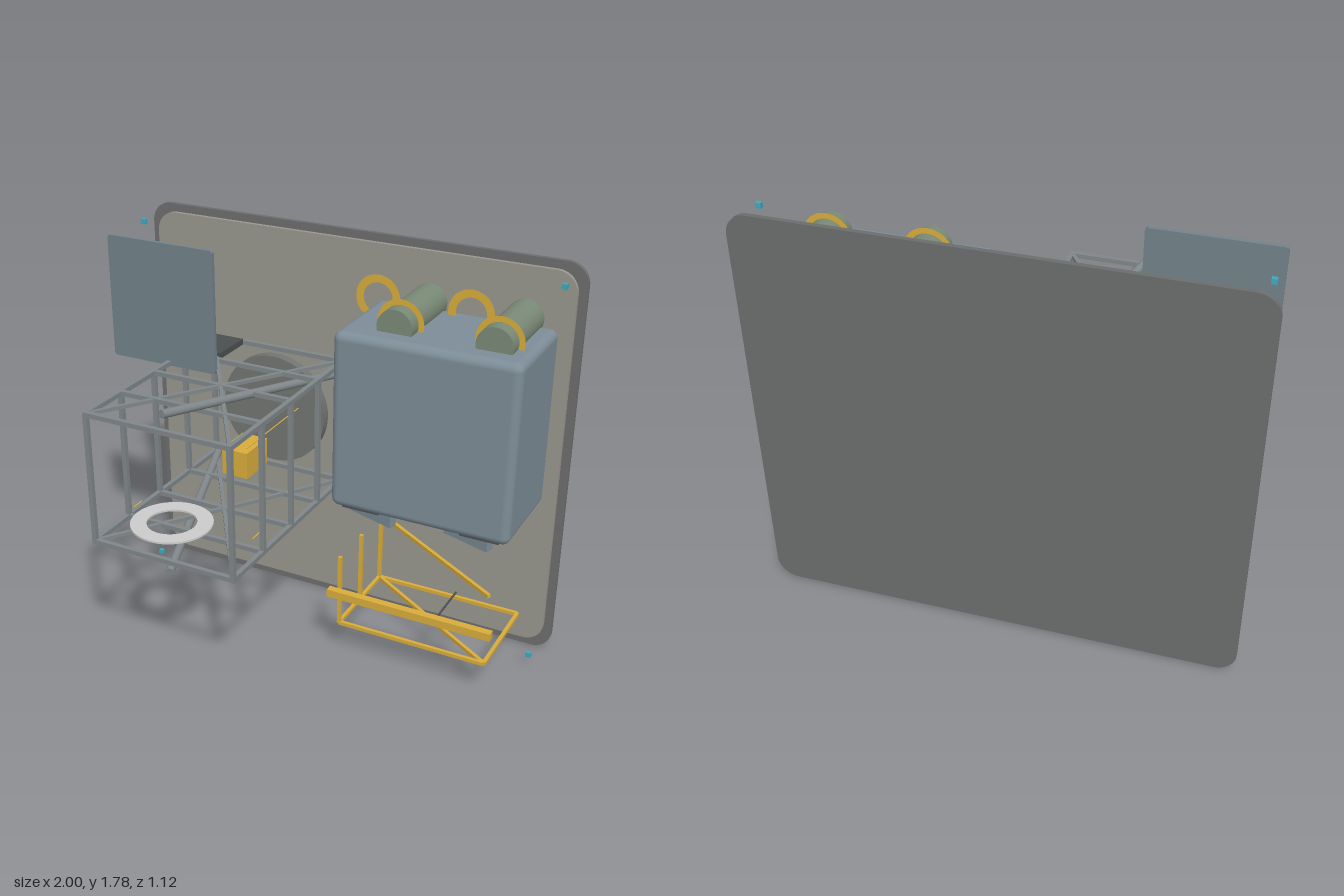
import * as THREE from 'three';
import { RoundedBoxGeometry } from 'three/addons/geometries/RoundedBoxGeometry.js';

const mat = (color) => new THREE.MeshStandardMaterial({ color, side: THREE.DoubleSide });
const M = {
  rim: mat(0x6c6e6d), plate: mat(0x98988f), steel: mat(0x80878a), dark: mat(0x4c4f50),
  blue: mat(0x7d8d97), screen: mat(0x71838a), yellow: mat(0xd9ad3c), green: mat(0x7a8976),
  disc: mat(0x737573), light: mat(0xbcbcbc), cyan: mat(0x3fa9bd),
};

export function createModel() {
  const root = new THREE.Group();
  const section = (name) => {
    const g = new THREE.Group();
    g.name = name;
    root.add(g);
    return g;
  };
  const add = (parent, name, geometry, material, x = 0, y = 0, z = 0) => {
    const mesh = new THREE.Mesh(geometry, material);
    mesh.name = name;
    mesh.position.set(x, y, z);
    parent.add(mesh);
    return mesh;
  };
  // Box given by its minimum and maximum corners
  const box = (parent, name, material, a, b, radius = 0) => {
    const s = b.map((v, i) => v - a[i]);
    const c = b.map((v, i) => (v + a[i]) / 2);
    const geo = radius ? new RoundedBoxGeometry(...s, 4, radius) : new THREE.BoxGeometry(...s);
    return add(parent, name, geo, material, ...c);
  };
  // Square bar or round rod between two points
  const bar = (parent, name, material, a, b, t, round = false) => {
    const p = new THREE.Vector3(...a), q = new THREE.Vector3(...b);
    const len = p.distanceTo(q);
    const geo = round
      ? new THREE.CylinderGeometry(t / 2, t / 2, len, 20).rotateX(Math.PI / 2)
      : new THREE.BoxGeometry(t, t, len);
    const mesh = add(parent, name, geo, material, ...p.clone().add(q).multiplyScalar(0.5).toArray());
    mesh.lookAt(q);
    return mesh;
  };
  // Flat plate with rounded corners
  const plate = (parent, name, material, x0, y0, x1, y1, z0, z1, r) => {
    const s = new THREE.Shape();
    s.absarc(x1 - r, y1 - r, r, 0, Math.PI / 2);
    s.absarc(x0 + r, y1 - r, r, Math.PI / 2, Math.PI);
    s.absarc(x0 + r, y0 + r, r, Math.PI, Math.PI * 1.5);
    s.absarc(x1 - r, y0 + r, r, Math.PI * 1.5, Math.PI * 2);
    s.closePath();
    const geo = new THREE.ExtrudeGeometry(s, { depth: z1 - z0, bevelEnabled: false, curveSegments: 10 });
    return add(parent, name, geo, material, 0, 0, z0);
  };

  // Wall panel
  const wall = section('wallPanel');
  plate(wall, 'outerPlate', M.rim, -1, 0, 1, 1.78, -0.56, -0.54, 0.09);
  plate(wall, 'innerPlate', M.plate, -0.965, 0.04, 0.965, 1.745, -0.54, -0.522, 0.09);

  // Small corner markers
  for (const x of [-0.95, 0.95]) for (const y of [0.053, 1.73])
    add(root, 'cornerMarker', new THREE.BoxGeometry(0.022, 0.022, 0.018), M.cyan, x, y, -0.387);

  // Large cabinet with feet, top cylinders and rings
  const cabinet = section('cabinet');
  box(cabinet, 'cabinetBody', M.blue, [0.13, 0.74, -0.52], [0.912, 1.513, -0.065], 0.035);
  for (const x of [0.255, 0.78])
    box(cabinet, 'foot', M.dark, [x - 0.083, 0.727, -0.5], [x + 0.083, 0.75, -0.1]);
  [0.152, 0.357, 0.562, 0.768].forEach((x, i) => {
    const front = i % 2 === 1;
    add(cabinet, 'ring', new THREE.RingGeometry(0.066, 0.1, 40), M.yellow, x, 1.535, front ? -0.218 : -0.455);
    if (front) {
      const geo = new THREE.CylinderGeometry(0.076, 0.076, 0.365, 40).rotateX(Math.PI / 2);
      add(cabinet, 'topCylinder', geo, M.green, x, 1.535, -0.337);
    }
  });

  // Angled boxes below the cabinet
  for (const x of [0.197, 0.642]) {
    const b = add(root, 'angledBox', new THREE.BoxGeometry(0.235, 0.108, 0.04), M.blue, x, 0.603, -0.37);
    b.rotation.y = -0.32;
  }

  // Screen and small shelf
  plate(root, 'screen', M.screen, -0.972, 1.188, -0.455, 1.732, -0.157, -0.14, 0.015);
  box(root, 'shelf', M.dark, [-0.67, 1.195, -0.49], [-0.52, 1.222, -0.29]);

  // Open cage
  const cage = section('cage');
  const [xl, xr, yb, yt, zb, zf] = [-0.688, -0.027, 0.622, 1.2, -0.51, 0.47];
  const t = 0.02;
  for (const y of [yb, yt]) {
    for (const x of [xl, xr]) bar(cage, 'longRail', M.steel, [x, y, zb], [x, y, zf], t);
    bar(cage, 'diagonal', M.steel, [xl, y, zb], [xr, y, zf], t * 0.8);
    bar(cage, 'diagonal', M.steel, [xr, y, zb], [xl, y, zf], t * 0.8);
  }
  for (let i = 0; i < 5; i++) {
    const z = zb + ((zf - zb) * i) / 4;
    for (const y of [yb, yt]) bar(cage, 'crossRail', M.steel, [xl - t / 2, y, z], [xr + t / 2, y, z], t);
    for (const x of [xl, xr]) bar(cage, 'post', M.steel, [x, yb, z], [x, yt, z], t);
  }

  // Contents of the cage
  const disc = new THREE.CylinderGeometry(0.255, 0.255, 0.045, 56).rotateX(Math.PI / 2);
  add(root, 'wallDisc', disc, M.disc, -0.36, 0.915, -0.502);
  box(root, 'yellowBox', M.yellow, [-0.42, 0.735, -0.3], [-0.296, 0.857, -0.12]);
  const ring = new THREE.Shape().absarc(0, 0, 0.17, 0, Math.PI * 2);
  ring.holes.push(new THREE.Path().absarc(0, 0, 0.103, 0, Math.PI * 2, true));
  const ringGeo = new THREE.ExtrudeGeometry(ring, { depth: 0.008, bevelEnabled: false, curveSegments: 28 });
  add(root, 'flatRing', ringGeo.rotateX(-Math.PI / 2), M.light, -0.36, 0.747, 0.385);
  for (const x of [-0.65, -0.067]) bar(root, 'pin', M.yellow, [x, 0.68, 0.18], [x, 0.68, 0.24], 0.006, true);
  bar(root, 'sideRod', M.yellow, [-0.036, 1.135, -0.1], [-0.036, 1.135, 0.33], 0.005, true);

  // Slanting struts above and below the cage
  bar(root, 'upperStrut', M.steel, [-0.36, 1.248, 0.42], [-0.04, 1.14, -0.515], 0.036, true);
  bar(root, 'lowerStrut', M.steel, [-0.36, 0.535, 0.42], [-0.67, 0.643, -0.515], 0.036, true);

  // Yellow rack
  const rack = section('rack');
  const w = 0.016, [x0, x1, y0, y1, z0, z1] = [0.178, 0.848, 0.16, 0.492, -0.51, -0.083];
  for (const z of [z0, z1]) bar(rack, 'bottomRail', M.yellow, [x0, y0, z], [x1, y0, z], w);
  for (const x of [x0, x1]) bar(rack, 'sideRail', M.yellow, [x, y0, z0], [x, y0, z1], w);
  for (const z of [z0, (z0 + z1) / 2, z1]) bar(rack, 'upright', M.yellow, [x0, y0, z], [x0, y1, z], w);
  for (const y of [y0, y1]) bar(rack, 'rackDiagonal', M.yellow, [x0, y, z0], [x1, y, z1], w);
  box(rack, 'frontBar', M.yellow, [0.138, 0.308, -0.07], [0.88, 0.343, -0.036]);
  bar(rack, 'darkRod', M.dark, [0.63, 0.325, -0.1], [0.63, 0.325, -0.3], 0.009, true);

  return root;
}
